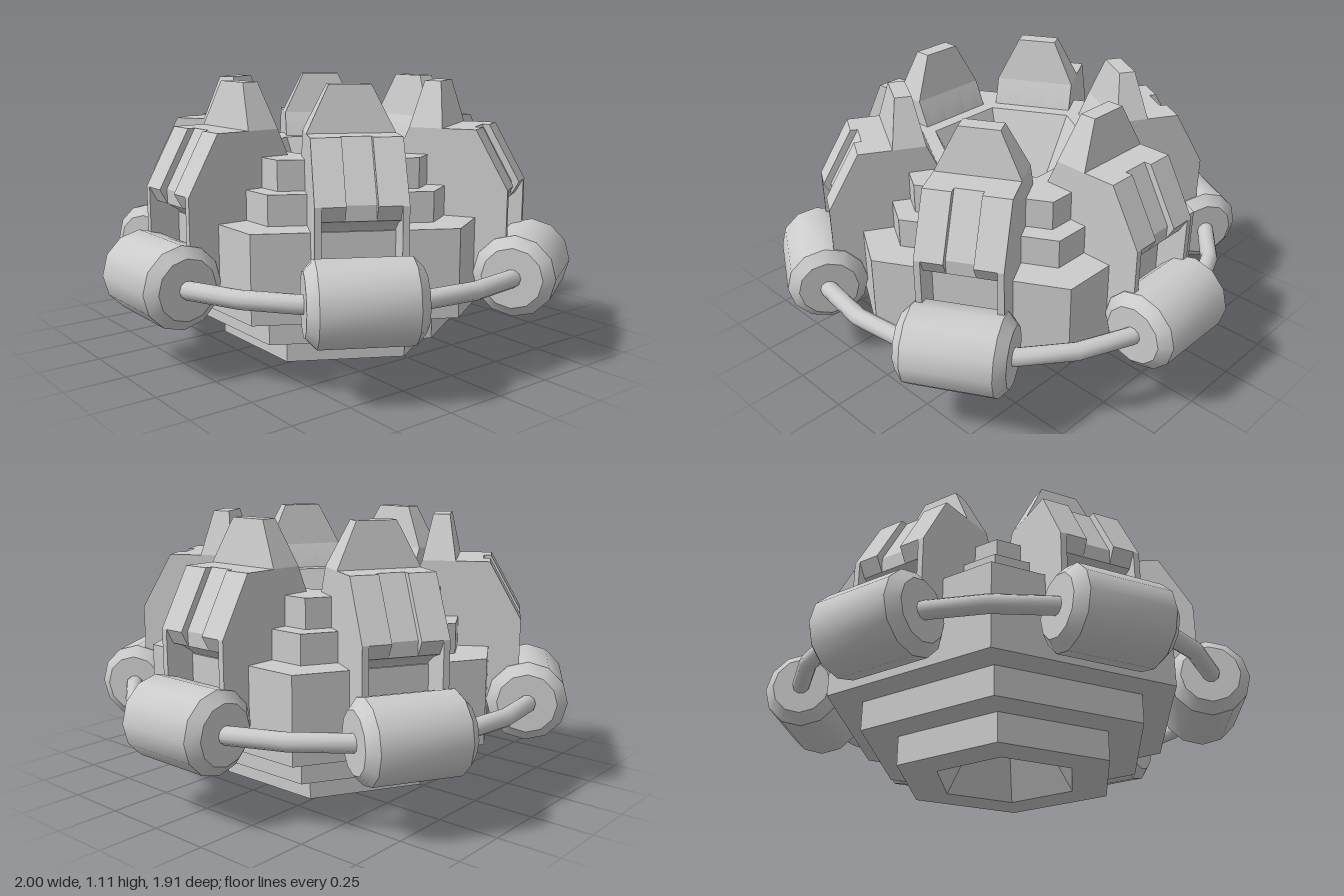
import * as THREE from 'three';
import { toCreasedNormals } from 'three/addons/utils/BufferGeometryUtils.js';

const smooth = new THREE.MeshStandardMaterial({ color: 0xcccccc });
const flat = new THREE.MeshStandardMaterial({ color: 0xcccccc, flatShading: true });

function mesh(name, geometry, material = smooth) {
  const m = new THREE.Mesh(geometry, material);
  m.name = name;
  return m;
}

const points = (list) => list.map(([x, y]) => new THREE.Vector2(x, y));

// Radial profile (x outward, y up) extruded between two tangential positions
function slab(name, profile, z0, z1) {
  const geo = new THREE.ExtrudeGeometry(new THREE.Shape(points(profile)), {
    depth: z1 - z0, bevelEnabled: false,
  });
  geo.translate(0, 0, z0);
  return mesh(name, toCreasedNormals(geo, 0.5));
}

// Box whose top is narrowed to make a tapered tooth
function tooth() {
  const geo = new THREE.BoxGeometry(0.135, 0.18, 0.34);
  const p = geo.attributes.position;
  for (let i = 0; i < p.count; i++) {
    if (p.getY(i) > 0) p.setXYZ(i, p.getX(i) * 0.5, p.getY(i), p.getZ(i) * 0.48);
  }
  geo.translate(0.4675, 1.02, 0);
  return mesh('tooth', geo, flat);
}

// Stepped hexagonal hull with a bowl on top and a recess underneath
function hull() {
  const profile = points([
    [0, 0.22], [0.17, 0.22], [0.31, 0], [0.48, 0], [0.48, 0.12],
    [0.635, 0.12], [0.635, 0.24], [0.78, 0.24], [0.78, 0.585],
    [0.635, 0.585], [0.635, 0.705], [0.55, 0.705], [0.55, 0.825],
    [0.345, 0.825], [0.173, 0.5], [0, 0.5],
  ]);
  return mesh('hull', new THREE.LatheGeometry(profile, 6).toNonIndexed(), flat);
}

// Outer buttress: side plates, stepped sloping strips and a curved seat for the pod
function buttress() {
  const group = new THREE.Group();
  group.name = 'buttress';
  const inner = [[0.33, 0.36], [0.33, 0.72], [0.355, 0.83], [0.4, 0.93]];
  const seat = [];
  for (let i = 0; i <= 6; i++) {
    const a = THREE.MathUtils.degToRad(105 + i * 12);
    seat.push([0.83 + 0.24 * Math.cos(a), 0.41 + 0.24 * Math.sin(a)]);
  }
  seat.push([0.59, 0.36]);
  // Strips: the middle one is set back
  const strip = (shift) => [...inner, [0.67 - shift, 0.93], [0.8 - shift, 0.7], ...seat];
  const plate = [...inner, [0.67, 0.93], [0.8, 0.7], [0.8, 0.36]];
  for (const s of [-1, 1]) {
    const span = (a, b) => (s > 0 ? [a, b] : [-b, -a]);
    group.add(slab('sidePlate', plate, ...span(0.145, 0.17)));
    group.add(slab('outerStrip', strip(0), ...span(0.057, 0.145)));
  }
  group.add(slab('middleStrip', strip(0.03), -0.057, 0.057));
  group.add(tooth());
  return group;
}

// Chamfered cylinder lying along the tangent
function pod() {
  const geo = new THREE.LatheGeometry(points([
    [0, -0.215], [0.12, -0.215], [0.163, -0.175], [0.163, 0.175], [0.12, 0.215], [0, 0.215],
  ]), 12);
  geo.rotateX(Math.PI / 2);
  geo.translate(0.837, 0.365, 0);
  return mesh('pod', toCreasedNormals(geo, 0.6));
}

export function createModel() {
  const model = new THREE.Group();
  model.name = 'hexagonalStation';
  model.add(hull());

  // Six arms around the hull
  for (let i = 0; i < 6; i++) {
    const arm = new THREE.Group();
    arm.name = 'arm';
    arm.add(buttress(), pod());
    arm.rotation.y = (i * Math.PI) / 3;
    model.add(arm);
  }

  // Ring tube joining the pods
  const ring = mesh('ringTube', new THREE.TorusGeometry(0.865, 0.036, 10, 24));
  ring.rotation.x = Math.PI / 2;
  ring.position.y = 0.365;
  model.add(ring);
  return model;
}
